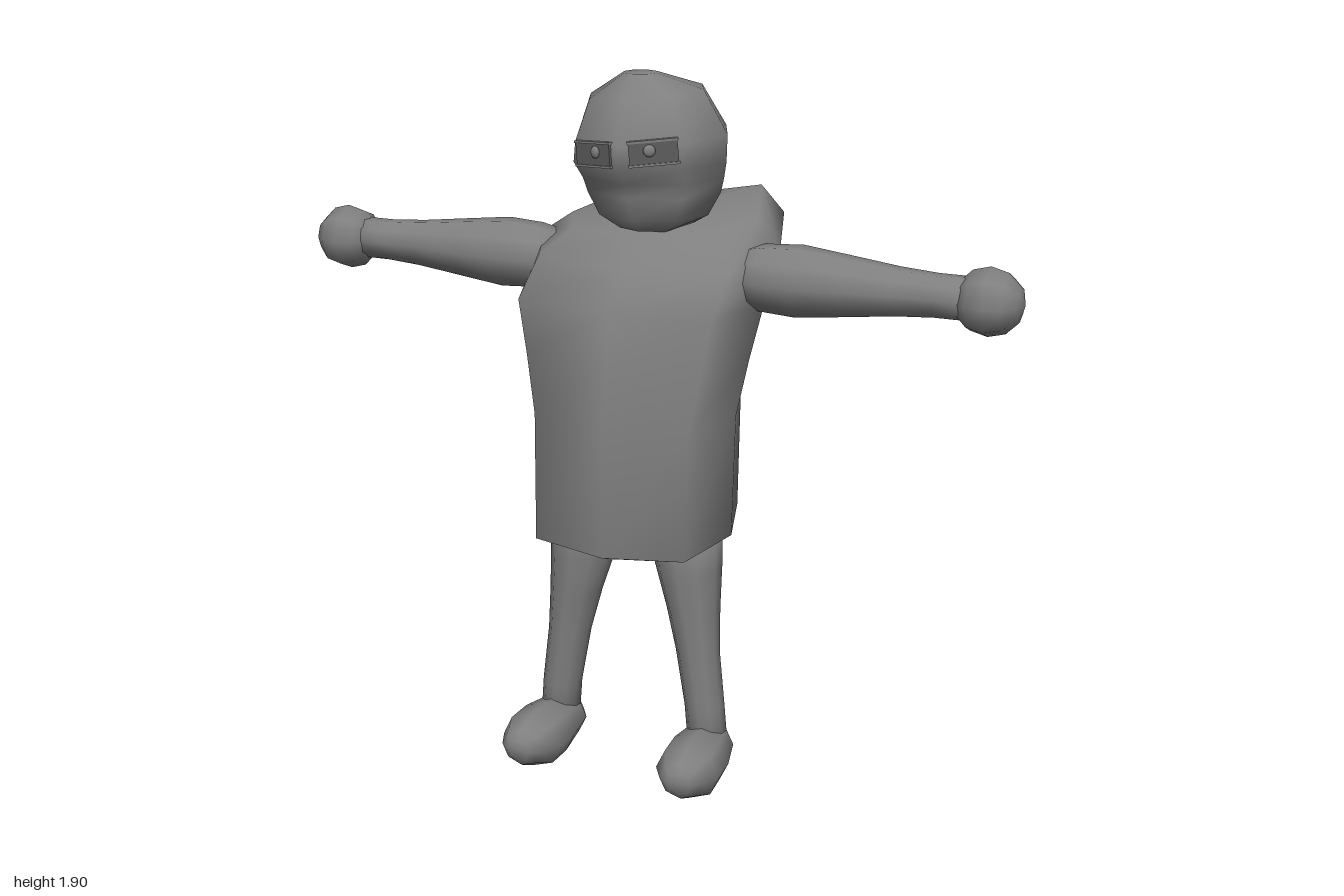
import * as THREE from 'three';

const skin = new THREE.MeshStandardMaterial({ color: 0x808080 });
skin.name = 'plain grey';
const shade = new THREE.MeshStandardMaterial({ color: 0x5c5c5c });
shade.name = 'eye grey';

// Closed smooth loft through rings [y, x0, x1, zFront, zBack, tiltX, tiltZ], bottom to top.
function loft(rings, sides, square = 0, adjust = null) {
  const pos = [], idx = [];
  const ends = [];
  rings.forEach(([y, x0, x1, zf, zb, tx = 0, tz = 0], r) => {
    const cx = (x0 + x1) / 2, cz = (zf + zb) / 2;
    for (let i = 0; i < sides; i++) {
      const a = (i / sides) * Math.PI * 2;
      const k = 1 + square * Math.sin(2 * a) ** 2;
      const dx = Math.sin(a) * k * (x1 - x0) / 2;
      const dz = Math.cos(a) * k * (zf - zb) / 2;
      const p = new THREE.Vector3(cx + dx, y + tx * dx + tz * dz, cz + dz);
      if (adjust) adjust(p, r, i);
      pos.push(p.x, p.y, p.z);
    }
    if (r === 0 || r === rings.length - 1) ends.push([cx, y, cz]);
  });
  for (let r = 0; r < rings.length - 1; r++) {
    for (let i = 0; i < sides; i++) {
      const a = r * sides + i, b = r * sides + (i + 1) % sides;
      idx.push(a, b, b + sides, a, b + sides, a + sides);
    }
  }
  const bottom = rings.length * sides, last = bottom - sides;
  pos.push(...ends[0], ...ends[1]);
  for (let i = 0; i < sides; i++) {
    const j = (i + 1) % sides;
    idx.push(bottom, j, i, bottom + 1, last + i, last + j);
  }
  const g = new THREE.BufferGeometry();
  g.setAttribute('position', new THREE.Float32BufferAttribute(pos, 3));
  g.setIndex(idx);
  g.computeVertexNormals();
  return g;
}

function add(parent, name, geometry, material = skin) {
  const m = new THREE.Mesh(geometry, material);
  m.name = name;
  parent.add(m);
  return m;
}

// Round tube ring: height, centre and radius
const round = (y, cx, cz, r) => [y, cx - r, cx + r, cz + r, cz - r];

export function createModel() {
  const model = new THREE.Group();
  model.name = 'figure';

  // Tunic-like body, with the left rear shoulder raised into a hump
  add(model, 'body', loft([
    [0.67, -0.2, 0.2, 0.25, -0.13, 0, -0.06],
    [0.695, -0.27, 0.27, 0.3, -0.2, 0, -0.06],
    [1.03, -0.275, 0.275, 0.285, -0.2],
    [1.18, -0.32, 0.3, 0.245, -0.21],
    [1.32, -0.36, 0.325, 0.225, -0.26],
    [1.45, -0.33, 0.345, 0.155, -0.31, 0, -0.12],
    [1.52, -0.25, 0.28, 0.08, -0.25, 0.06, -0.15],
  ], 8, 0.12, (p, ring, i) => {
    if (ring >= 5 && i === 3) {
      p.z -= 0.05;
      p.y += 0.03;
    }
  }));

  // Head with a brow, a recessed mouth and a chin
  const head = new THREE.Group();
  head.name = 'head';
  model.add(head);
  add(head, 'skull', loft([
    [1.505, -0.08, 0.1, 0.07, -0.1],
    [1.54, -0.15, 0.16, 0.105, -0.18],
    [1.6, -0.19, 0.19, 0.12, -0.22],
    [1.635, -0.205, 0.195, 0.125, -0.24],
    [1.68, -0.22, 0.205, 0.165, -0.26],
    [1.74, -0.215, 0.205, 0.165, -0.27, 0.05],
    [1.85, -0.17, 0.145, 0.12, -0.19, 0.09],
    [1.9, -0.07, 0.02, 0.02, -0.07],
  ], 8));

  // Slanted eyes lying on the two front facets
  for (const s of [-1, 1]) {
    const eye = new THREE.Group();
    eye.name = s > 0 ? 'leftEye' : 'rightEye';
    eye.position.set(s * 0.082 - 0.005, 1.718 + s * 0.008, 0.133);
    eye.rotation.set(0, s * 0.41, 0.09);
    head.add(eye);
    add(eye, 'eyePlate', new THREE.BoxGeometry(0.125, 0.055, 0.008), shade);
    const pupil = add(eye, 'pupil', new THREE.SphereGeometry(0.016, 8, 6));
    pupil.scale.z = 0.5;
    pupil.position.set(-s * 0.01, 0.006, 0.004);
    for (const e of [-1, 1]) {
      const lid = add(eye, 'eyelid', new THREE.BoxGeometry(0.13, 0.006, 0.014));
      lid.position.y = e * 0.03;
    }
  }

  for (const s of [-1, 1]) {
    const side = s > 0 ? 'left' : 'right';

    // Arm stretched sideways, tapering to the wrist
    const arm = add(model, side + 'Arm', loft([
      round(0.24, 0, 0, 0.07),
      round(0.32, 0, 0, 0.088),
      round(0.42, 0, 0, 0.094),
      round(0.54, 0, 0, 0.08),
      round(0.68, 0, 0, 0.063),
      round(0.78, 0, 0, 0.056),
      round(0.88, 0, 0, 0.056),
    ], 10));
    arm.rotation.z = -s * Math.PI / 2;
    arm.position.set(0, 1.393, -0.02);

    // Ball-shaped fist
    const hand = add(model, side + 'Hand', new THREE.SphereGeometry(0.09, 8, 6));
    hand.position.set(s * 0.912, 1.39, -0.02);
    hand.rotation.z = Math.PI / 2;

    // Leg leaning outward towards the ankle
    add(model, side + 'Leg', loft([
      round(0.08, s * 0.225, 0.09, 0.055),
      round(0.2, s * 0.215, 0.092, 0.055),
      round(0.36, s * 0.192, 0.088, 0.06),
      round(0.48, s * 0.175, 0.08, 0.073),
      round(0.6, s * 0.156, 0.07, 0.091),
      round(0.72, s * 0.15, 0.065, 0.095),
    ], 10));

    // Rounded foot, turned slightly outward
    const foot = add(model, side + 'Foot', loft([
      round(-0.16, 0, 0.005, 0.035),
      round(-0.11, 0, 0, 0.07),
      round(0, 0, 0, 0.09),
      round(0.08, 0, 0, 0.09),
      round(0.14, 0, -0.005, 0.06),
      round(0.16, 0, -0.005, 0.035),
    ], 8));
    foot.rotation.set(Math.PI / 2, 0, -s * 0.06);
    foot.scale.z = 0.88;
    foot.position.set(s * 0.228, 0.08, 0.18);
  }

  return model;
}
